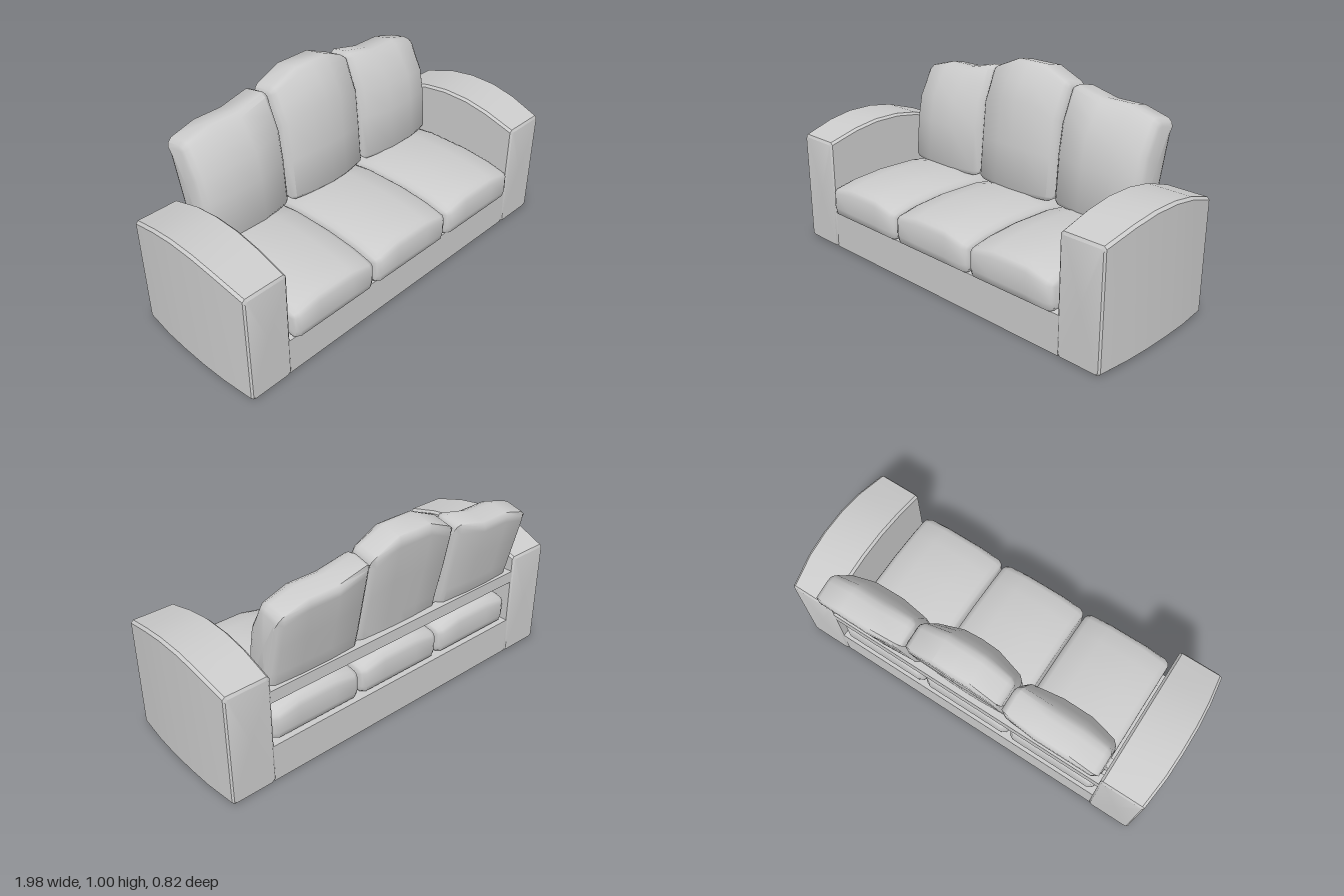
import * as THREE from 'three';
import { toCreasedNormals } from 'three/addons/utils/BufferGeometryUtils.js';

const material = new THREE.MeshStandardMaterial({ color: 0xcccccc });

// Skin a row of closed loops (lists of [x, y, z]) and close both ends
function loft(sections, crease) {
  const n = sections[0].length, last = sections.length - 1;
  const points = sections.flat(), index = [];
  for (let i = 0; i < last; i++) {
    for (let j = 0; j < n; j++) {
      const k = (j + 1) % n, a = i * n + j, b = i * n + k;
      index.push(a, b, b + n, a, b + n, a + n);
    }
  }
  for (const [s, flip] of [[0, true], [last, false]]) {
    const c = points.length;
    points.push([0, 1, 2].map(d => sections[s].reduce((sum, p) => sum + p[d], 0) / n));
    for (let j = 0; j < n; j++) {
      const a = s * n + j, b = s * n + (j + 1) % n;
      index.push(c, flip ? b : a, flip ? a : b);
    }
  }
  const g = new THREE.BufferGeometry();
  g.setAttribute('position', new THREE.Float32BufferAttribute(points.flat(), 3));
  g.setIndex(index);
  return toCreasedNormals(g.toNonIndexed(), crease);
}

function add(group, name, geometry) {
  const mesh = new THREE.Mesh(geometry, material);
  mesh.name = name;
  group.add(mesh);
  return mesh;
}

// Mirrored copies reverse the loop order so faces keep pointing outward
function mirrored(sections) {
  return sections.map(s => s.map(([x, y, z]) => [-x, y, z])).reverse();
}

// Shrink a side profile of [z, y, bulge] inward along its own normals
function inset(profile, amount) {
  const n = profile.length;
  return profile.map(([z, y, w], i) => {
    const p = profile[(i + n - 1) % n], q = profile[(i + 1) % n];
    const dz = q[0] - p[0], dy = q[1] - p[1], l = Math.hypot(dz, dy);
    return [z + dy / l * amount, y - dz / l * amount, w];
  });
}

// stations: [x, inset, change of top height]; the middle swells by bulge
function cushionSections(profile, stations, { low, high, bulge }) {
  const first = stations[0][0], end = stations[stations.length - 1][0];
  const centre = (first + end) / 2, half = (end - first) / 2;
  return stations.map(([x, amount, rise]) => {
    const u = (x - centre) / half;
    return inset(profile, amount).map(([z, y, w]) => {
      const t = Math.min(1, Math.max(0, (y - low) / (high - low)));
      return [x, y + rise * t, z - bulge * u * u * w];
    });
  });
}

// Side profiles run along the bottom to the rear, up, forward and down the front
const seatProfile = [
  [0.38, 0.19, 0], [-0.30, 0.19, 0], [-0.322, 0.205, 0], [-0.33, 0.235, 0], [-0.33, 0.32, 0],
  [-0.322, 0.345, 0], [-0.30, 0.362, 0], [-0.1, 0.395, 0], [0.12, 0.40, 0], [0.28, 0.388, 0],
  [0.37, 0.37, 0], [0.395, 0.36, 0], [0.408, 0.335, 0], [0.41, 0.24, 0], [0.402, 0.205, 0]
];
const middleBackProfile = [
  [-0.13, 0.375, 1], [-0.27, 0.375, 0], [-0.295, 0.39, -0.3], [-0.325, 0.55, -0.3],
  [-0.365, 0.75, -0.3], [-0.398, 0.93, -0.3], [-0.40, 0.96, -0.3], [-0.385, 0.98, 0],
  [-0.29, 1.0, 0], [-0.265, 0.997, 0], [-0.24, 0.982, 0.3], [-0.195, 0.91, 0.7],
  [-0.15, 0.83, 1], [-0.13, 0.61, 1], [-0.112, 0.40, 1]
];
const sideBackProfile = [
  [-0.13, 0.375, 1], [-0.28, 0.375, 0], [-0.305, 0.39, -0.3], [-0.345, 0.55, -0.3],
  [-0.378, 0.70, -0.3], [-0.408, 0.835, -0.3], [-0.41, 0.86, -0.3], [-0.395, 0.88, 0],
  [-0.31, 0.90, 0], [-0.28, 0.898, 0], [-0.25, 0.885, 0.3], [-0.20, 0.81, 0.7],
  [-0.155, 0.74, 1], [-0.132, 0.61, 1], [-0.115, 0.40, 1]
];

// Arm: rounded rectangles along z, with a crowned top and a bowed outer side
function armSections() {
  const stations = [
    [-0.345, 0.547, 0.968, 0.01], [-0.337, 0.56, 0.972, 0], [-0.18, 0.61, 0.988, 0],
    [-0.05, 0.63, 0.992, 0], [0.09, 0.63, 0.992, 0], [0.22, 0.61, 0.986, 0],
    [0.377, 0.568, 0.97, 0], [0.385, 0.555, 0.966, 0.01]
  ];
  const c = 0.012;
  return stations.map(([z, top, outer, d]) => {
    const l = 0.747 + d, r = outer - d * 0.4, b = d * 0.6;
    return [
      [l + c, b, z], [r - c, b, z], [r, b + c, z], [r, top - c, z],
      [r - c, top, z], [l + c, top, z], [l, top - c, z], [l, b + c, z]
    ];
  });
}

function box(w, y0, y1, z0, z1) {
  return new THREE.BoxGeometry(w, y1 - y0, z1 - z0).translate(0, (y0 + y1) / 2, (z0 + z1) / 2);
}

export function createModel() {
  const sofa = new THREE.Group();
  sofa.name = 'sofa';

  // Frame
  add(sofa, 'base', box(1.5, 0, 0.19, -0.338, 0.378));
  add(sofa, 'backRail', box(1.5, 0.42, 0.48, -0.34, -0.29));
  add(sofa, 'innerRail', box(1.5, 0.40, 0.46, -0.25, -0.20));

  // Arms
  const arm = armSections();
  add(sofa, 'leftArm', loft(arm, 0.5));
  add(sofa, 'rightArm', loft(mirrored(arm), 0.5));

  // Seat cushions, arched across their width
  const seatStations = [
    [-0.24, 0.028, -0.025], [-0.232, 0.012, -0.025], [-0.21, 0, -0.025], [-0.1, 0, 0],
    [0.1, 0, 0], [0.21, 0, -0.025], [0.232, 0.012, -0.025], [0.24, 0.028, -0.025]
  ];
  const seat = loft(cushionSections(seatProfile, seatStations, { low: 0.25, high: 0.36, bulge: 0 }), 0.8);
  ['rightSeatCushion', 'middleSeatCushion', 'leftSeatCushion'].forEach((name, i) => {
    add(sofa, name, seat).position.x = (i - 1) * 0.492;
  });

  // Back cushions: a tall middle one and two sloping side ones
  const middleStations = [
    [-0.245, 0.03, -0.06], [-0.237, 0.012, -0.058], [-0.218, 0, -0.055], [-0.09, 0, 0], [0, 0, 0],
    [0.09, 0, 0], [0.218, 0, -0.055], [0.237, 0.012, -0.058], [0.245, 0.03, -0.06]
  ];
  const sideStations = [
    [0.252, 0.03, 0.04], [0.26, 0.012, 0.038], [0.28, 0, 0.035], [0.43, 0, 0],
    [0.58, 0, 0], [0.705, 0, -0.035], [0.725, 0.012, -0.04], [0.733, 0.03, -0.042]
  ];
  const shape = { low: 0.5, high: 0.85, bulge: 0.04 };
  const side = cushionSections(sideBackProfile, sideStations, shape);
  add(sofa, 'middleBackCushion', loft(cushionSections(middleBackProfile, middleStations, shape), 0.8));
  add(sofa, 'leftBackCushion', loft(side, 0.8));
  add(sofa, 'rightBackCushion', loft(mirrored(side), 0.8));

  return sofa;
}
